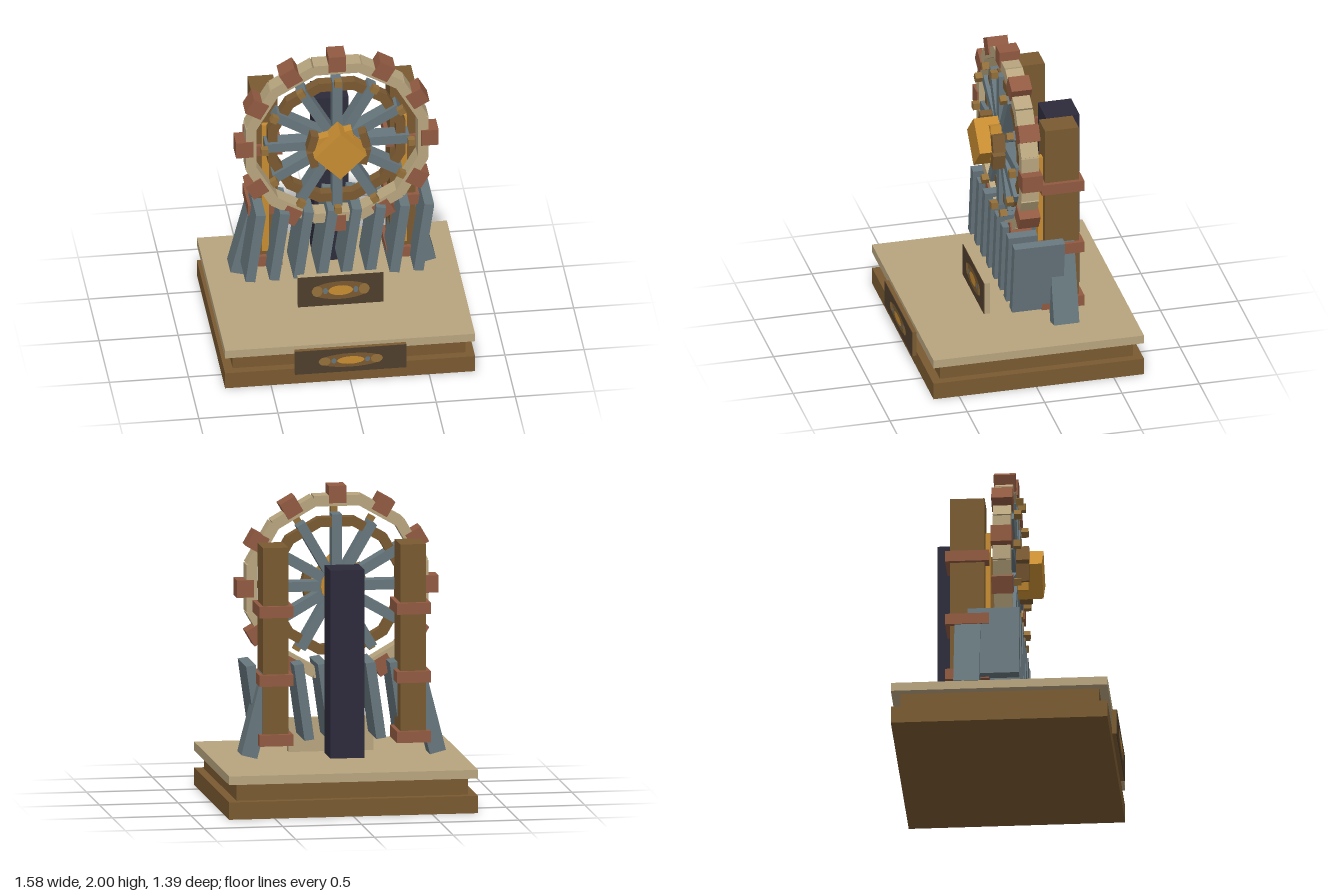
import * as THREE from 'three';

const mat = (name, color) => {
  const m = new THREE.MeshStandardMaterial({ color });
  m.name = name;
  return m;
};

export function createModel() {
  const root = new THREE.Group();
  root.name = 'wheelMonument';
  const brown = mat('brown wood', 0x7a5a32);
  const dark = mat('dark wood', 0x4f3e2b);
  const cream = mat('cream stone', 0xb8a57e);
  const clay = mat('terracotta', 0x915a41);
  const gold = mat('gold', 0xc68c32);
  const bronze = mat('bronze', 0x94703a);
  const slate = mat('slate grey', 0x67777d);
  const navy = mat('dark navy', 0x2d2b3b);

  const add = (parent, name, geometry, material) => {
    const mesh = new THREE.Mesh(geometry, material);
    mesh.name = name;
    parent.add(mesh);
    return mesh;
  };
  // box given by its limits on each axis
  const box = (parent, name, material, [x0, x1], [y0, y1], [z0, z1]) => {
    const m = add(parent, name, new THREE.BoxGeometry(x1 - x0, y1 - y0, z1 - z0), material);
    m.position.set((x0 + x1) / 2, (y0 + y1) / 2, (z0 + z1) / 2);
    return m;
  };

  // stepped base
  box(root, 'baseSlab', brown, [-0.79, 0.79], [0, 0.11], [-0.695, 0.665]);
  box(root, 'baseMiddle', brown, [-0.735, 0.735], [0.11, 0.22], [-0.637, 0.61]);
  box(root, 'baseTop', cream, [-0.79, 0.79], [0.22, 0.275], [-0.695, 0.665]);

  // plaques with a dark face and an oval ornament
  const plaque = (name, body, w, y0, y1, z0, z1, rx, ry) => {
    const g = new THREE.Group();
    g.name = name;
    root.add(g);
    box(g, 'plaqueBoard', body, [-w, w], [y0, y1], [z0, z1 - 0.004]);
    box(g, 'plaqueFace', dark, [-w, w], [y0, y1], [z1 - 0.004, z1]);
    const oval = (label, material, x, a, b, lift) => {
      const m = add(g, label, new THREE.CircleGeometry(1, 24), material);
      m.scale.set(a, b, 1);
      m.position.set(x, (y0 + y1) / 2, z1 + lift);
    };
    oval('ovalSurround', brown, 0, rx, ry, 0.001);
    for (const s of [-1, 1]) {
      oval('sideOrnament', bronze, s * rx * 0.8, rx * 0.18, ry * 0.6, 0.002);
      oval('sideAccent', slate, s * rx * 0.52, rx * 0.08, ry * 0.35, 0.002);
    }
    oval('ovalCentre', gold, 0, rx * 0.42, ry * 0.55, 0.003);
  };
  plaque('lowerPlaque', brown, 0.352, 0.082, 0.25, 0.665, 0.695, 0.205, 0.05);
  plaque('upperPlaque', cream, 0.27, 0.275, 0.49, 0.17, 0.21, 0.185, 0.065);

  // rear column
  box(root, 'rearColumn', navy, [-0.108, 0.108], [0.33, 1.525], [-0.45, -0.235]);

  for (const s of [-1, 1]) {
    // banded pillars with a gold strip
    const p = new THREE.Group();
    p.name = s > 0 ? 'leftPillar' : 'rightPillar';
    p.position.x = s * 0.436;
    root.add(p);
    box(p, 'pillarShaft', brown, [-0.081, 0.081], [0.41, 1.66], [-0.342, -0.125]);
    for (const y of [0.44, 0.82, 1.255])
      box(p, 'pillarBand', clay, [-0.108, 0.108], [y - 0.036, y + 0.036], [-0.372, -0.097]);
    box(p, 'pillarStrip', gold, [-0.022, 0.022], [0.52, 1.445], [-0.125, -0.092]);

    // splayed side supports
    const b = box(root, 'sideSupport', slate, [-0.052, 0.052], [-0.28, 0.28], [-0.313, -0.15]);
    b.position.x = s * 0.53;
    b.position.y = 0.602;
    b.rotation.z = s * 0.25;
  }

  // row of leaning slats
  for (let i = 0; i < 8; i++) {
    const m = box(root, 'leaningSlat', slate, [-0.031, 0.031], [-0.243, 0.243], [-0.232, 0.095]);
    m.position.x = -0.522 + i * 0.152;
    m.position.y = 0.655;
    m.rotation.z = -0.14;
  }

  // wheel: twelve repeated sectors
  const wheel = new THREE.Group();
  wheel.name = 'wheel';
  wheel.position.y = 1.36;
  root.add(wheel);
  for (let i = 0; i < 12; i++) {
    const g = new THREE.Group();
    g.name = 'wheelSector';
    g.rotation.z = i * Math.PI / 6;
    wheel.add(g);
    box(g, 'rimSegment', cream, [-0.15, 0.15], [0.51, 0.578], [-0.07, 0.043]);
    box(g, 'rimBlock', clay, [-0.055, 0.055], [0.53, 0.64], [-0.08, 0.053]);
    box(g, 'innerRingSegment', brown, [-0.117, 0.117], [0.375, 0.435], [-0.045, 0.025]);
    box(g, 'spoke', slate, [-0.031, 0.031], [0.04, 0.455], [-0.055, 0.05]);
    box(g, 'knob', bronze, [-0.022, 0.022], [0.442, 0.486], [0.053, 0.098]);
  }

  // hub: rear disc, crossed blocks and small brackets
  const disc = add(wheel, 'hubDisc', new THREE.CylinderGeometry(0.105, 0.105, 0.14, 16), gold);
  disc.rotation.x = Math.PI / 2;
  disc.position.z = -0.005;
  const front = box(wheel, 'hubDiamond', gold, [-0.117, 0.117], [-0.117, 0.117], [0.045, 0.208]);
  front.rotation.z = Math.PI / 4;
  const cross = box(wheel, 'hubCrossBlock', gold, [-0.115, 0.115], [-0.115, 0.115], [0.045, 0.12]);
  cross.rotation.z = 0.25;
  for (const sx of [-1, 1])
    for (const sy of [-1, 1]) {
      const m = box(wheel, 'hubBracket', brown, [-0.025, 0.025], [-0.055, 0.055], [0.05, 0.13]);
      m.position.x = sx * 0.165;
      m.position.y = sy * 0.06;
      m.rotation.z = sx * sy * 0.26;
    }
  return root;
}
